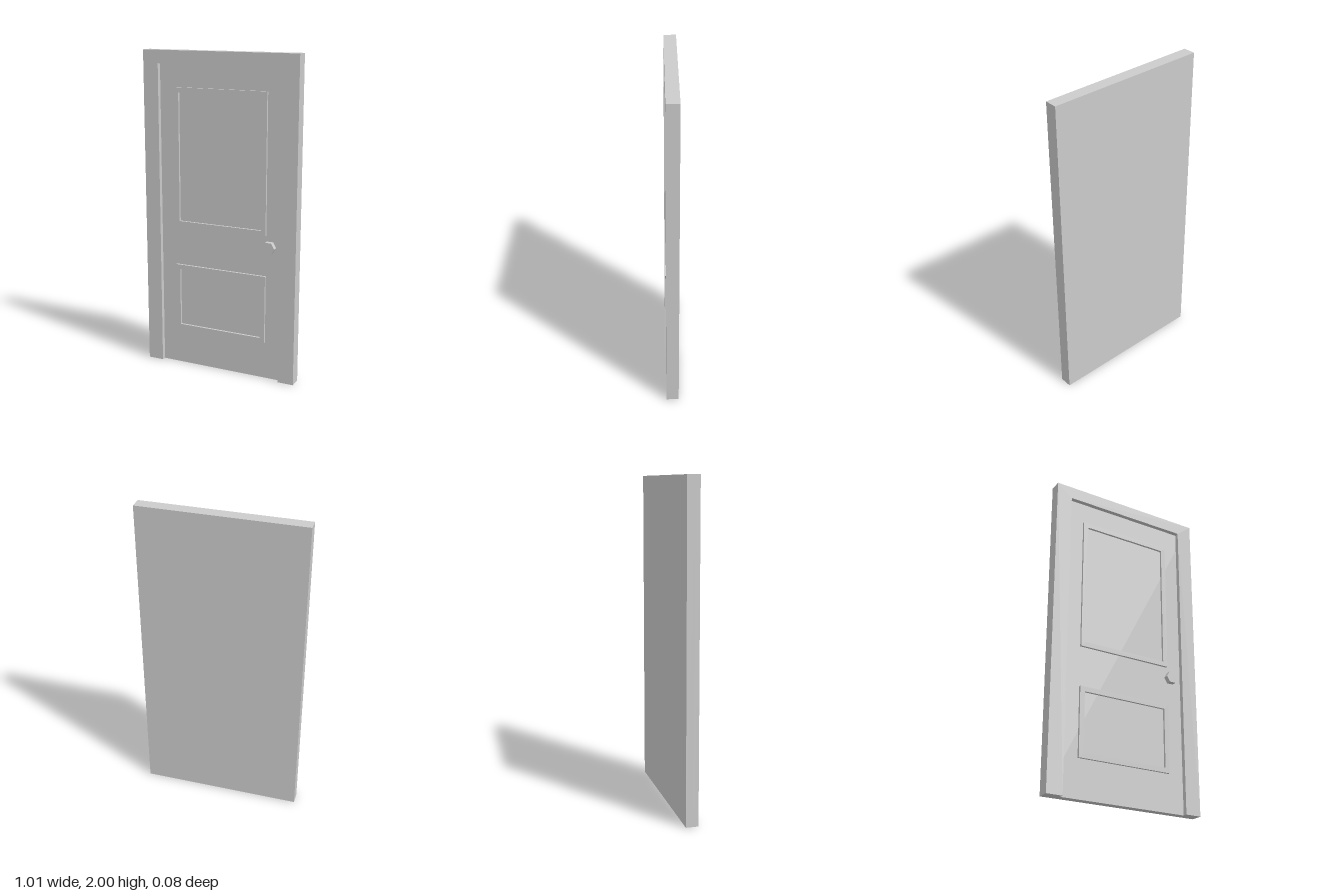
import * as THREE from 'three';

const BACK = -0.04, DOOR = 0.008, FRAME = 0.036, KNOB = 0.04;

export function createModel() {
  const model = new THREE.Group();
  const material = new THREE.MeshStandardMaterial({ color: 0xcccccc, flatShading: true });

  const add = (name, geometry) => {
    const mesh = new THREE.Mesh(geometry, material);
    mesh.name = name;
    model.add(mesh);
    return mesh;
  };
  const outline = (pts) => pts.map(([x, y]) => new THREE.Vector2(x, y));
  const rect = (w, y0, y1) => outline([[-w, y0], [w, y0], [w, y1], [-w, y1]]);
  const extrude = (shape, z0, z1) =>
    new THREE.ExtrudeGeometry(shape, { depth: z1 - z0, bevelEnabled: false }).translate(0, 0, z0);

  // Door leaf, with a flat back running the full width of the frame
  add('doorLeaf', extrude(new THREE.Shape(rect(0.505, 0, 2)), BACK, DOOR));

  // Two jambs and a header standing proud of the leaf, open at the floor
  const surround = outline([
    [-0.505, 0], [-0.405, 0], [-0.405, 1.92], [0.405, 1.92],
    [0.405, 0], [0.505, 0], [0.505, 2], [-0.505, 2],
  ]);
  add('doorFrame', extrude(new THREE.Shape(surround), DOOR, FRAME));

  // Raised rectangular mouldings around the upper and lower panels
  const moulding = (name, y0, y1, border = 0.03) => {
    const shape = new THREE.Shape(rect(0.305, y0, y1));
    shape.holes.push(new THREE.Path(rect(0.305 - border, y0 + border, y1 - border)));
    add(name, extrude(shape, DOOR, DOOR + 0.014));
  };
  moulding('upperPanelMoulding', 0.92, 1.78);
  moulding('lowerPanelMoulding', 0.235, 0.665);

  // Six-sided knob with its points to the sides
  const knob = new THREE.CylinderGeometry(0.04, 0.04, KNOB - DOOR, 6);
  knob.rotateY(Math.PI / 6 + Math.PI / 3).rotateX(Math.PI / 2);
  // Cylinder corners start on the z axis, so a quarter turn puts a pair on x
  add('doorKnob', knob).position.set(0.33, 0.85, (DOOR + KNOB) / 2);

  return model;
}
